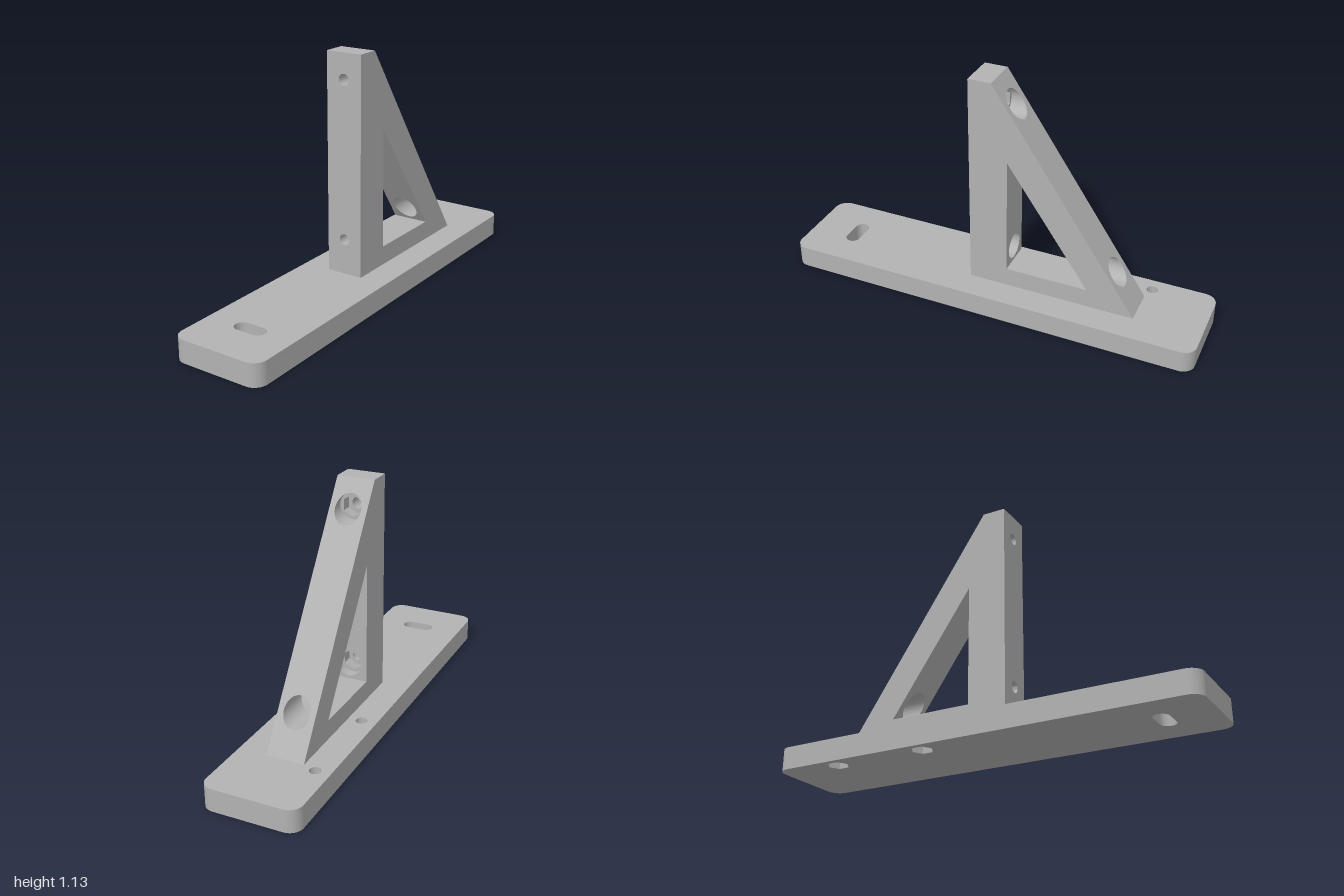
import * as THREE from 'three';
import { toCreasedNormals } from 'three/addons/utils/BufferGeometryUtils.js';

const grey = new THREE.MeshStandardMaterial({ color: 0xb2b2b2 });
grey.name = 'grey plastic';

const PLATE_TOP = 0.105, TOP = 1.127, HALF = 0.088;
const LOW = 0.27, HIGH = 1.008;              // heights of the screw holes
const BORE_END = -0.03, NUT_END = 0.02;      // z steps inside the holes
const WIN_Z = -0.075, WIN_LOW = 0.195, WIN_TOP = 0.76;

// z of the sloping back face and of the slope inside the window
const slopeBack = (y) => -0.688 * (TOP - y) / (TOP - PLATE_TOP);
const slopeInner = (y) => WIN_Z - 0.39 * (WIN_TOP - y) / (WIN_TOP - WIN_LOW);

function round(x, y, r) {
  return new THREE.Path().absarc(x, y, r, 0, Math.PI * 2, true);
}

function hex(x, y, r) {
  const pts = [];
  for (let i = 0; i < 6; i++) {
    const a = -i * Math.PI / 3 + Math.PI / 2;
    pts.push(new THREE.Vector2(x + r * Math.cos(a), y + r * Math.sin(a)));
  }
  pts.push(pts[0].clone());
  return new THREE.Path(pts);
}

function extrude(shape, depth) {
  return new THREE.ExtrudeGeometry(shape, { depth, bevelEnabled: false, curveSegments: 24 });
}

function mesh(name, geometry) {
  const m = new THREE.Mesh(toCreasedNormals(geometry, 0.6), grey);
  m.name = name;
  return m;
}

// A block between two heights whose front and back z are functions of height
function block(name, y0, y1, front, back, holes = []) {
  const shape = new THREE.Shape([
    new THREE.Vector2(-HALF, y0), new THREE.Vector2(HALF, y0),
    new THREE.Vector2(HALF, y1), new THREE.Vector2(-HALF, y1),
  ]);
  shape.holes.push(...holes);
  const geo = extrude(shape, 1);
  const p = geo.attributes.position;
  for (let i = 0; i < p.count; i++) {
    const y = p.getY(i);
    p.setZ(i, THREE.MathUtils.lerp(back(y), front(y), p.getZ(i)));
  }
  return mesh(name, geo);
}

// One layer of the base plate, with a slot and two screw holes
function plateLayer(name, y0, y1, screwHole) {
  const w = 0.22, l = 1, r = 0.06;
  const s = new THREE.Shape();
  s.absarc(w - r, l - r, r, 0, Math.PI / 2);
  s.absarc(-w + r, l - r, r, Math.PI / 2, Math.PI);
  s.absarc(-w + r, -l + r, r, Math.PI, Math.PI * 1.5);
  s.absarc(w - r, -l + r, r, Math.PI * 1.5, Math.PI * 2);
  s.closePath();

  const slot = new THREE.Path();
  slot.absarc(0.042, -0.776, 0.035, Math.PI / 2, -Math.PI / 2, true);
  slot.absarc(-0.042, -0.776, 0.035, -Math.PI / 2, -Math.PI * 1.5, true);
  slot.closePath();
  s.holes.push(slot, screwHole(-0.15, 0.707), screwHole(-0.15, 0.262));

  const geo = extrude(s, y1 - y0);
  geo.rotateX(-Math.PI / 2);
  geo.translate(0, y0, 0);
  return mesh(name, geo);
}

export function createModel() {
  const model = new THREE.Group();
  model.name = 'bracket';
  const at = (z) => () => z;

  // Base plate: nut pockets below, screw holes above
  const base = new THREE.Group();
  base.name = 'basePlate';
  base.add(
    plateLayer('plateLower', 0, 0.05, (x, y) => hex(x, y, 0.05)),
    plateLayer('plateUpper', 0.05, PLATE_TOP, (x, y) => round(x, y, 0.026)),
  );

  // Triangular upright, layered from front to back along the screw holes
  const upright = new THREE.Group();
  upright.name = 'upright';
  const yCut = TOP + BORE_END * (TOP - PLATE_TOP) / 0.688;
  upright.add(
    block('postFront', PLATE_TOP, TOP, at(0.108), at(NUT_END),
      [round(0, LOW, 0.026), round(0, HIGH, 0.026)]),
    block('postNutLayer', PLATE_TOP, yCut, at(NUT_END), at(BORE_END),
      [hex(0, LOW, 0.05), hex(0, HIGH, 0.05)]),
    block('postTip', yCut, TOP, at(NUT_END), slopeBack),
    block('postBack', PLATE_TOP, WIN_TOP, at(BORE_END), at(WIN_Z), [round(0, LOW, 0.061)]),
    block('head', WIN_TOP, yCut, at(BORE_END), slopeBack, [round(0, HIGH, 0.061)]),
    block('diagonalBrace', WIN_LOW, WIN_TOP, slopeInner, slopeBack, [round(0, LOW, 0.061)]),
    block('foot', PLATE_TOP, WIN_LOW, at(WIN_Z), slopeBack),
  );

  model.add(base, upright);
  return model;
}
